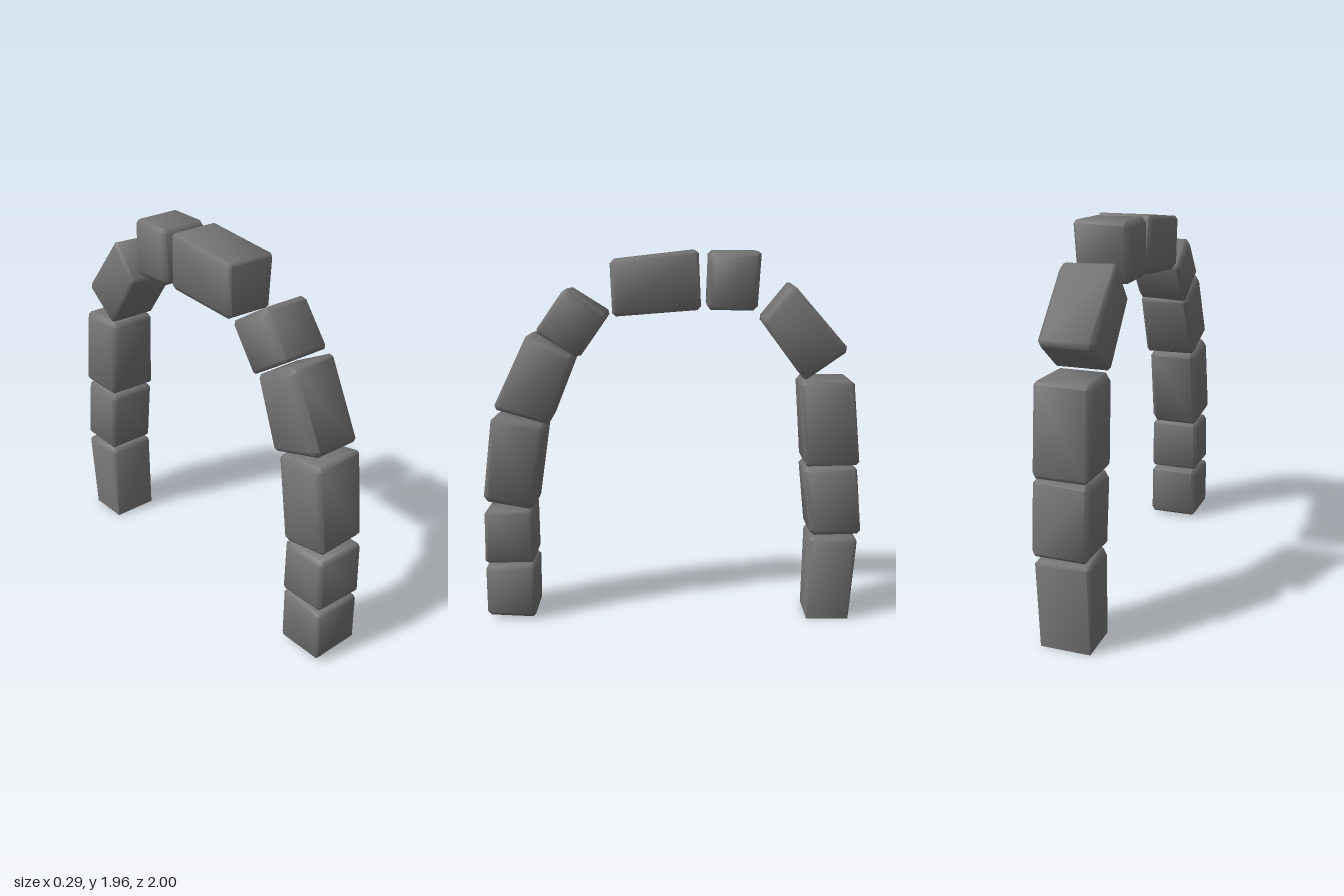
import * as THREE from 'three';
import { ConvexGeometry } from 'three/addons/geometries/ConvexGeometry.js';
import { toCreasedNormals } from 'three/addons/utils/BufferGeometryUtils.js';

// Dark grey stone
const material = new THREE.MeshStandardMaterial({ color: 0x747474 });

// Side outline of each stone as four [z, y] corners, going around the outline
const stones = {
  frontFootStone: [[1.0, 0.30], [0.735, 0.315], [0.74, 0.015], [1.0, 0.025]],
  frontLowerStone: [[0.995, 0.61], [0.74, 0.62], [0.74, 0.325], [1.0, 0.325]],
  frontMiddleStone: [[0.94, 1.115], [0.66, 1.07], [0.73, 0.615], [1.0, 0.665]],
  frontUpperStone: [[0.74, 1.55], [0.50, 1.425], [0.64, 1.08], [0.93, 1.16]],
  frontShoulderStone: [[0.545, 1.78], [0.325, 1.64], [0.48, 1.42], [0.70, 1.56]],
  crownStone: [[0.315, 1.915], [-0.13, 1.965], [-0.145, 1.67], [0.305, 1.635]],
  smallCrownStone: [[-0.185, 1.96], [-0.445, 1.96], [-0.43, 1.665], [-0.175, 1.67]],
  backShoulderStone: [[-0.61, 1.80], [-0.905, 1.465], [-0.68, 1.31], [-0.455, 1.61]],
  backUpperStone: [[-0.66, 1.305], [-0.935, 1.305], [-0.98, 0.86], [-0.695, 0.855]],
  backLowerStone: [[-0.69, 0.84], [-0.965, 0.85], [-1.0, 0.485], [-0.73, 0.475]],
  backFootStone: [[-0.73, 0.465], [-0.985, 0.46], [-0.95, 0], [-0.725, 0]],
};

// Small seeded noise in the range -1 to 1
let seed = 11;
function noise() {
  seed = (seed * 16807) % 2147483647;
  return (seed / 2147483647) * 2 - 1;
}

// A roughly cut block: each corner is clipped into three points, then hulled
function makeStone(outline) {
  const corners = outline.map(([z, y]) => new THREE.Vector3(0, y, z));
  const points = [];
  corners.forEach((corner, i) => {
    const next = corners[(i + 1) % 4].clone().sub(corner).normalize();
    const previous = corners[(i + 3) % 4].clone().sub(corner).normalize();
    const grounded = corner.y === 0;
    for (const side of [-1, 1]) {
      const bevel = 0.026 + 0.01 * noise();
      const x = side * (grounded ? 0.132 : 0.142 + 0.004 * noise());
      const clip = (a, b, inset) => {
        const p = corner.clone().addScaledVector(next, a * bevel).addScaledVector(previous, b * bevel);
        p.x = x - side * inset * bevel;
        points.push(p);
      };
      if (grounded) {
        // Sharp base resting on the ground
        clip(0, 0, 0.2);
      } else {
        clip(1, 1, 0);
        clip(0.7, 0, 0.8);
        clip(0, 0.7, 0.8);
      }
    }
  });
  // Soft shading across the worn edges
  return toCreasedNormals(new ConvexGeometry(points), 1);
}

export function createModel() {
  const arch = new THREE.Group();
  arch.name = 'stoneArch';
  for (const [name, outline] of Object.entries(stones)) {
    const stone = new THREE.Mesh(makeStone(outline), material);
    stone.name = name;
    arch.add(stone);
  }
  return arch;
}
